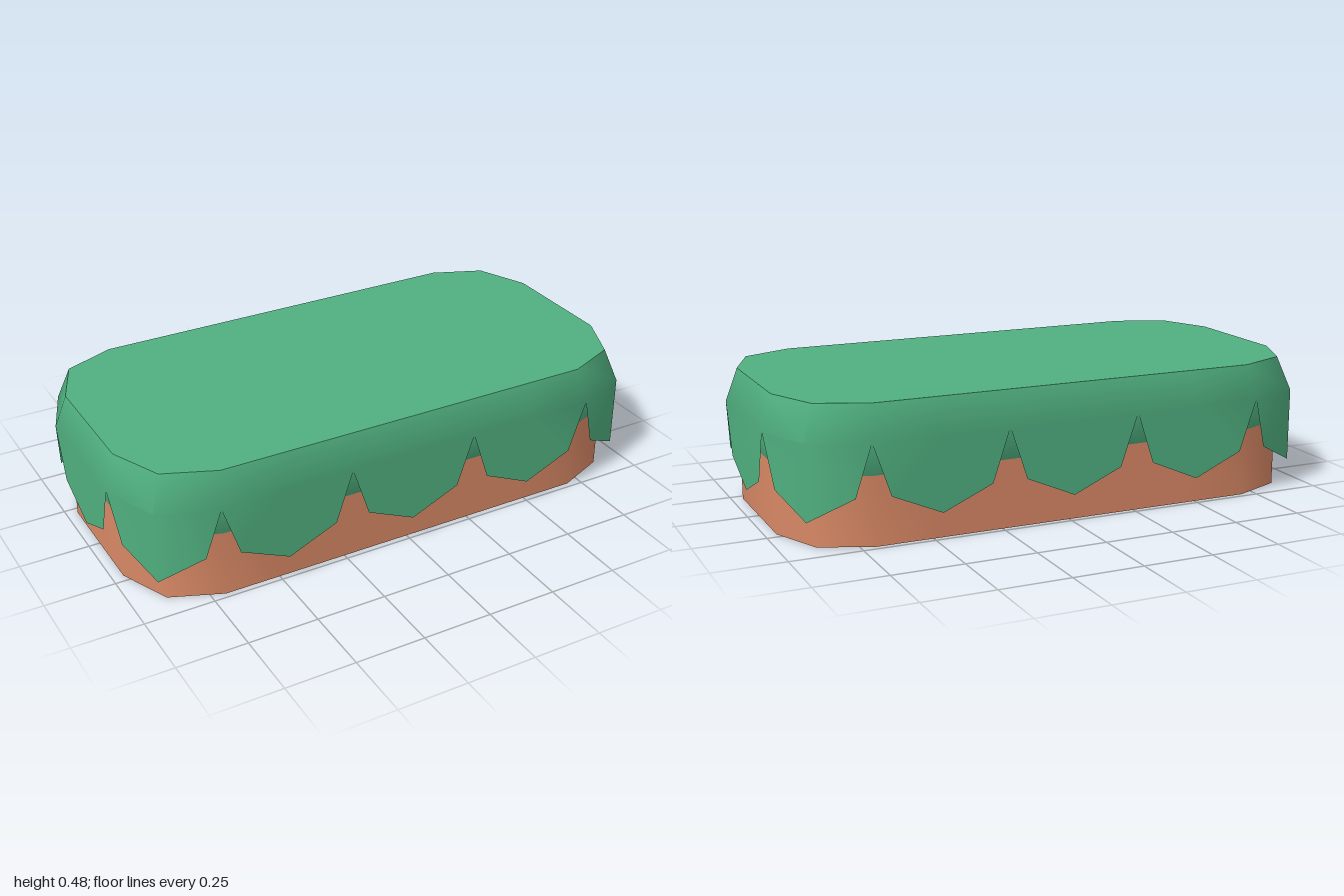
import * as THREE from 'three';
import { toCreasedNormals } from 'three/addons/utils/BufferGeometryUtils.js';

// Mirrors a quarter outline, [x, z] from the +x axis round to the +z axis, into a closed ring
function ring(quarter) {
  const half = [...quarter, ...quarter.slice(0, -1).reverse().map(([x, z]) => [-x, z])].slice(0, -1);
  return [...half, ...half.map(([x, z]) => [-x, -z])];
}

const at = ([x, z], y) => [x, y, z];
const mix = (a, b, t) => [a[0] + (b[0] - a[0]) * t, a[1] + (b[1] - a[1]) * t];

// Outward-facing wall between two rings
function wall(tris, low, yLow, high, yHigh) {
  low.forEach((p, i) => {
    const j = (i + 1) % low.length;
    const a = at(p, yLow), b = at(low[j], yLow), c = at(high[j], yHigh), d = at(high[i], yHigh);
    tris.push(a, d, c, a, c, b);
  });
}

// Flat lid facing up or down
function cap(tris, pts, y, up) {
  pts.forEach((p, i) => {
    const a = at(p, y), b = at(pts[(i + 1) % pts.length], y);
    tris.push([0, y, 0], ...(up ? [b, a] : [a, b]));
  });
}

function makeMesh(name, tris, material) {
  const geometry = new THREE.BufferGeometry();
  geometry.setAttribute('position', new THREE.Float32BufferAttribute(tris.flat(), 3));
  const mesh = new THREE.Mesh(toCreasedNormals(geometry, Math.PI / 3), material);
  mesh.name = name;
  return mesh;
}

export function createModel() {
  const grass = new THREE.MeshStandardMaterial({ color: 0x50b080, side: THREE.DoubleSide });
  grass.name = 'grass green';
  const dirt = new THREE.MeshStandardMaterial({ color: 0xd88865 });
  dirt.name = 'dirt brown';

  // Even points lie over fringe tips, odd points over the notches between them
  const inner = ring([[0.96, 0], [0.96, 0.22], [0.88, 0.405], [0.7, 0.48], [0.48, 0.48], [0.24, 0.48], [0, 0.48]]);
  const outer = ring([[1, 0], [1, 0.24], [0.92, 0.44], [0.72, 0.52], [0.48, 0.52], [0.24, 0.52], [0, 0.52]]);
  const rim = 0.36, ledge = 0.24, top = 0.48;

  // Dirt block
  const dirtTris = [];
  wall(dirtTris, inner, 0, inner, ledge);
  cap(dirtTris, inner, 0, false);

  // Grass slab: flat top, bevelled edge and sloping underside
  const grassTris = [];
  cap(grassTris, inner, top, true);
  wall(grassTris, outer, rim, inner, top);
  wall(grassTris, inner, ledge, outer, rim);

  // Hanging fringe: one pointed flap round each tip
  const n = outer.length;
  for (let i = 0; i < n; i += 2) {
    const tip = outer[i], a = outer[(i + n - 1) % n], b = outer[i + 1];
    const low = at(tip, 0.098), mid = at(tip, rim);
    const sideA = at(mix(a, tip, 0.26), 0.176), sideB = at(mix(b, tip, 0.26), 0.176);
    grassTris.push(sideA, at(a, rim), mid, sideA, mid, low);
    grassTris.push(sideB, mid, at(b, rim), sideB, low, mid);
  }

  const model = new THREE.Group();
  model.name = 'grassyBlock';
  model.add(makeMesh('dirtBlock', dirtTris, dirt), makeMesh('grassCover', grassTris, grass));
  return model;
}
